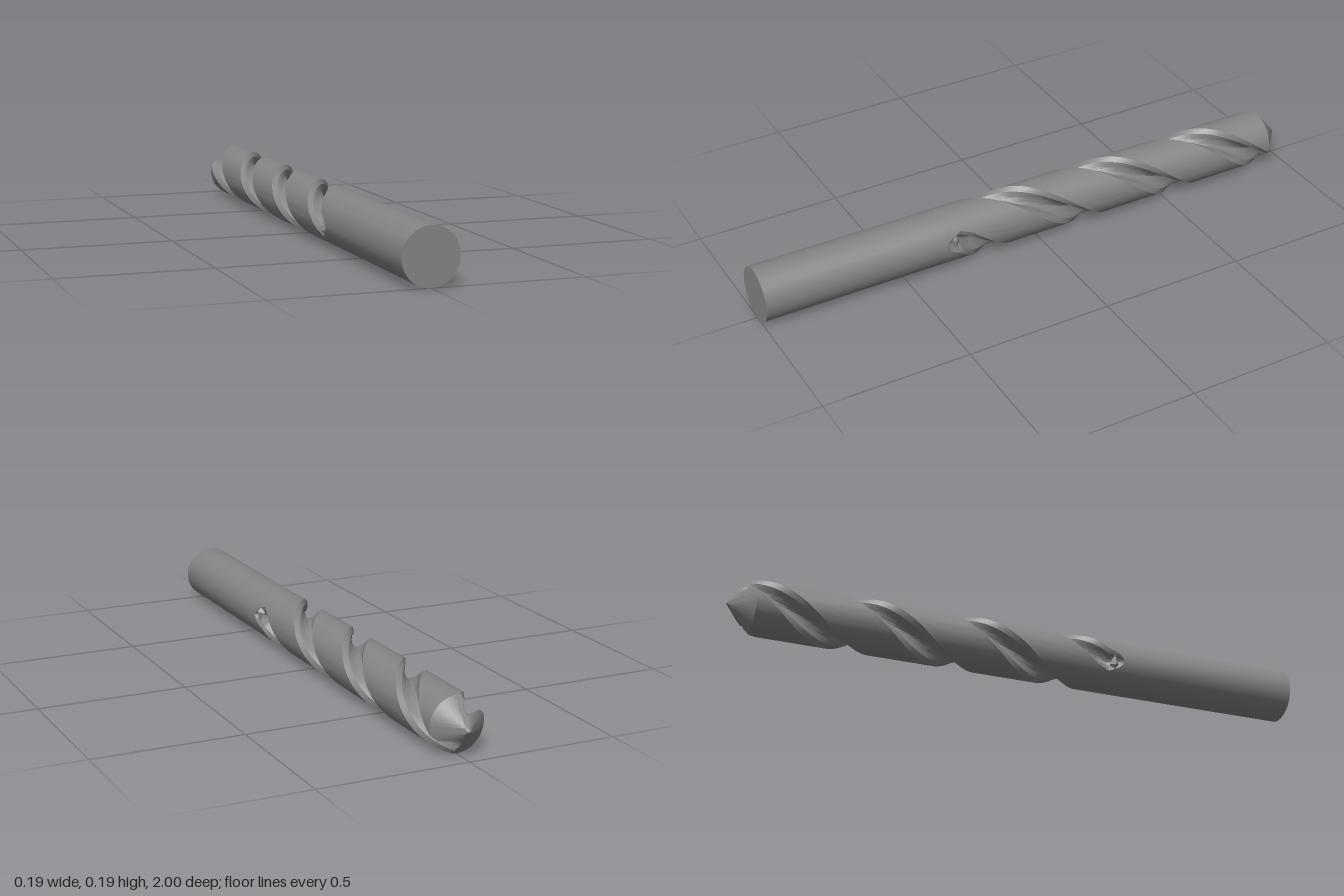
import * as THREE from 'three';
import { toCreasedNormals } from 'three/addons/utils/BufferGeometryUtils.js';

const R = 0.0925;        // drill radius
const PITCH = 0.74;      // length of one full twist
const START = 0.36;      // where the flutes run out into the shank
const STRAIGHT = 0.305;  // the run-out stops twisting here
const FULL = 0.26;       // where the flutes reach full depth
const SHOULDER = -0.92;  // base of the conical point
const rad = THREE.MathUtils.degToRad;

// half of a flute: angle from its middle in degrees, radius
const HALF = [[35, R], [24, 0.078], [21, 0.055], [10, 0.042], [0, 0.039]];
const CORNERS = [...HALF.map(([a, r]) => [-a, r]), ...HALF.slice(0, -1).reverse()];
const FLUTE_STEPS = 4;
const LAND_STEPS = 26;

// subdivided flute profile
const FLUTE = CORNERS.slice(0, -1).flatMap(([a, r], i) => {
  const [a2, r2] = CORNERS[i + 1];
  return Array.from({ length: FLUTE_STEPS }, (_, k) => [
    a + ((a2 - a) * k) / FLUTE_STEPS,
    r + ((r2 - r) * k) / FLUTE_STEPS,
  ]);
});
FLUTE.push(CORNERS[CORNERS.length - 1]);

const twist = (z) => (2 * Math.PI * (Math.min(z, STRAIGHT) + 0.08)) / PITCH;

// one closed cross-section: two flutes separated by two lands
function section(z) {
  const t = THREE.MathUtils.clamp((START - z) / (START - FULL), 0, 1);
  const depth = Math.sqrt(t);
  const cone = z < SHOULDER ? Math.max(1e-4, (R * (z + 1)) / (SHOULDER + 1)) : R;
  const ring = [];
  const add = (angle, r) => {
    const a = angle + twist(z);
    const rr = Math.min(r, cone);
    ring.push([rr * Math.cos(a), rr * Math.sin(a), z]);
  };
  for (const turn of [0, Math.PI]) {
    for (const [a, r] of FLUTE) add(turn + rad(a) * depth, R - (R - r) * depth);
    const edge = rad(HALF[0][0]) * depth;
    for (let k = 1; k < LAND_STEPS; k++) {
      add(turn + edge + ((Math.PI - 2 * edge) * k) / LAND_STEPS, R);
    }
  }
  return ring;
}

function bodyGeometry() {
  const zs = [1];
  const span = (from, to, n) => {
    for (let i = 0; i < n; i++) zs.push(from + ((to - from) * i) / n);
  };
  span(START, FULL, 16);
  span(FULL, SHOULDER, 130);
  span(SHOULDER, -1, 48);
  zs.push(-1);

  const rings = zs.map(section);
  const n = rings[0].length;
  const index = [];
  for (let i = 0; i < rings.length - 1; i++) {
    for (let j = 0; j < n; j++) {
      const a = i * n + j, b = i * n + ((j + 1) % n);
      index.push(a, a + n, b, b, a + n, b + n);
    }
  }
  const g = new THREE.BufferGeometry();
  g.setAttribute('position', new THREE.Float32BufferAttribute(rings.flat(2), 3));
  g.setIndex(index);
  return toCreasedNormals(g, 0.5);
}

export function createModel() {
  const group = new THREE.Group();
  group.name = 'twistDrill';
  const material = new THREE.MeshStandardMaterial({ color: 0x848484 });
  const add = (name, geometry) => {
    const mesh = new THREE.Mesh(geometry, material);
    mesh.name = name;
    mesh.position.y = R;
    group.add(mesh);
    return mesh;
  };

  // shank, fluted body and conical point in one skin
  add('drillBody', bodyGeometry());

  // flat end of the shank
  add('shankEnd', new THREE.CircleGeometry(R, 70)).position.z = 1;

  // raised wedge-shaped burr where each flute begins
  for (const turn of [0, Math.PI]) {
    const burr = new THREE.ConeGeometry(0.035, 0.02, 4).toNonIndexed();
    burr.computeVertexNormals();
    burr.scale(1, 1, 0.5);
    burr.rotateZ(-Math.PI / 2);
    burr.translate(0.09, 0, 0);
    burr.rotateZ(rad(17) + turn);
    add('fluteBurr', burr).position.z = 0.328;
  }
  return group;
}
